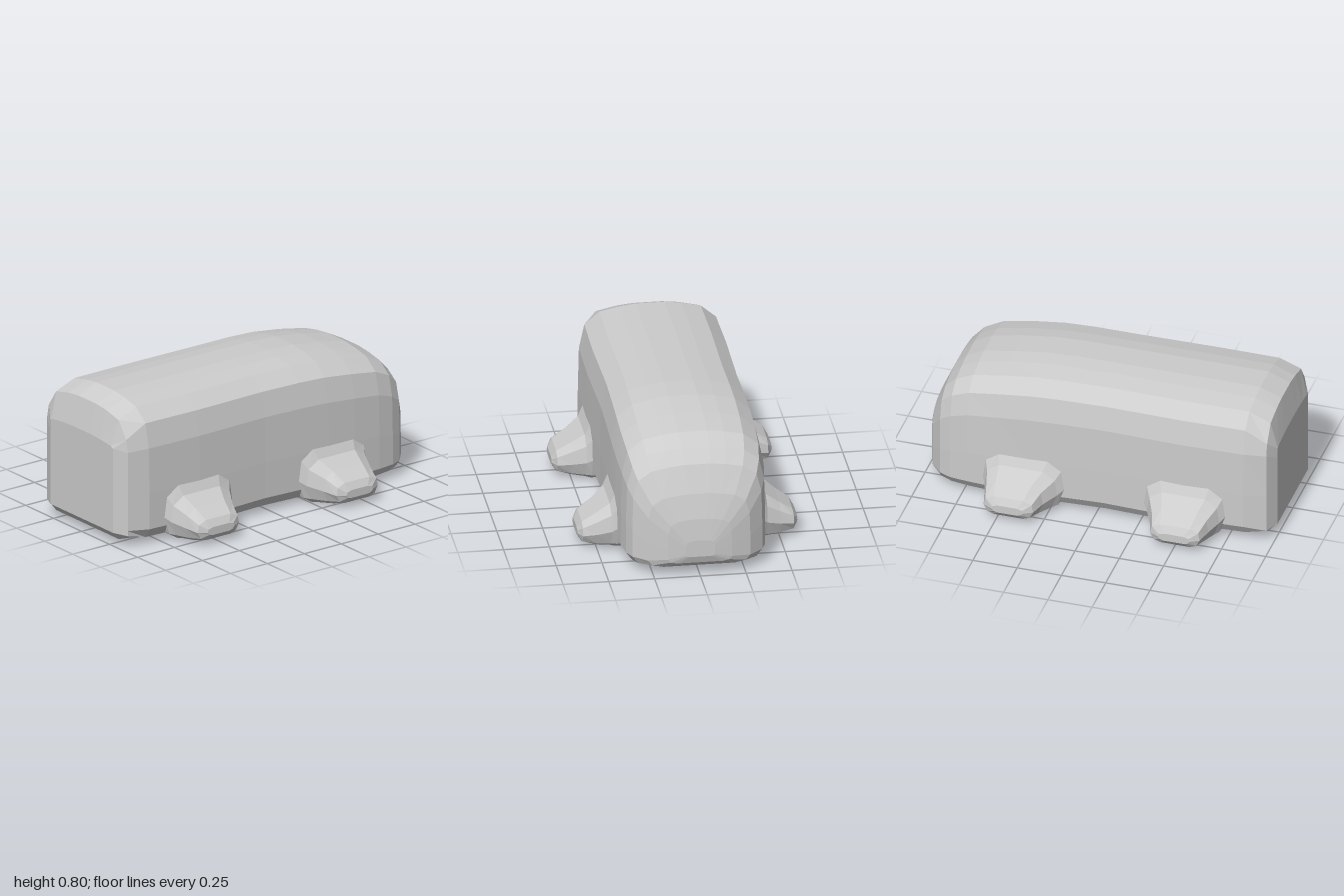
import * as THREE from 'three';

const material = new THREE.MeshStandardMaterial({ color: 0xcccccc, flatShading: true });

// Skin a list of equal-length rings and close both ends
function loft(rings, name) {
  const n = rings[0].length, pos = [], idx = [];
  rings.forEach(r => r.forEach(p => pos.push(...p)));
  for (let i = 0; i < rings.length - 1; i++) {
    for (let j = 0; j < n; j++) {
      const k = (j + 1) % n, a = i * n + j, b = i * n + k, c = b + n, d = a + n;
      idx.push(a, b, c, a, c, d);
    }
  }
  [0, rings.length - 1].forEach((r, end) => {
    const c = pos.length / 3;
    pos.push(...[0, 1, 2].map(k => rings[r].reduce((s, p) => s + p[k], 0) / n));
    for (let j = 0; j < n; j++) {
      const a = r * n + j, b = r * n + (j + 1) % n;
      if (end) idx.push(c, a, b); else idx.push(c, b, a);
    }
  });
  const indexed = new THREE.BufferGeometry();
  indexed.setAttribute('position', new THREE.Float32BufferAttribute(pos, 3));
  indexed.setIndex(idx);
  const geo = indexed.toNonIndexed();
  geo.computeVertexNormals();
  const mesh = new THREE.Mesh(geo, material);
  mesh.name = name;
  return mesh;
}

// Half section of the body: fraction of half width, fraction of height
const PROFILE = [[0, 1], [0.2, 1], [0.43, 0.985], [0.7, 0.955], [0.91, 0.865], [0.985, 0.69],
  [1, 0.36], [1, 0.1], [0.91, 0.03], [0.7, 0], [0, 0]];

// Mirror a half section into a full ring at depth z
function ring(half, z) {
  const left = half.map(([x, y]) => [x, y, z]);
  const right = half.slice(1, -1).reverse().map(([x, y]) => [-x, y, z]);
  return [...left, ...right];
}

function createBody() {
  // Squared-off front: flat face, then its bevel
  const face = [[0, 0.585], [0.08, 0.585], [0.17, 0.58], [0.26, 0.57], [0.28, 0.56], [0.28, 0.5],
    [0.28, 0.3], [0.28, 0.1], [0.28, 0.075], [0.26, 0.075], [0, 0.075]];
  const bevel = [[0, 0.75], [0.08, 0.75], [0.17, 0.74], [0.28, 0.715], [0.345, 0.62], [0.36, 0.55],
    [0.36, 0.3], [0.36, 0.1], [0.36, 0.07], [0.28, 0.03], [0, 0.03]];
  // z, half width, bottom, top
  const stations = [
    [0.84, 0.395, 0.015, 0.8], [0.5, 0.4, 0.008, 0.8], [0.05, 0.392, 0.015, 0.8],
    [-0.2, 0.397, 0.01, 0.798], [-0.37, 0.4, 0.005, 0.79], [-0.55, 0.4, 0.008, 0.765],
    [-0.72, 0.393, 0.015, 0.732], [-0.82, 0.38, 0.02, 0.68], [-0.885, 0.355, 0.03, 0.61],
    [-0.95, 0.28, 0.045, 0.465], [-0.985, 0.175, 0.075, 0.33], [-1, 0.08, 0.115, 0.21]];
  const rings = stations.map(([z, w, b, t]) =>
    ring(PROFILE.map(([u, v]) => [u * w, b + v * (t - b)]), z));
  return loft([ring(face, 1), ring(bevel, 0.96), ...rings], 'body');
}

// Stubby foot: faceted sections shrinking outward from the body side
const FOOT = [[0.6, 1], [-0.6, 1], [-0.93, 0.82], [-1, 0.45], [-0.85, 0.12],
  [-0.6, 0], [0.6, 0], [0.85, 0.12], [1, 0.45], [0.93, 0.82]];

function createFoot(side, z0, rootShift, name) {
  // x, half length, bottom, top, share of the root shift
  const sections = [[0.6, 0.09, 0.06, 0.105, 0], [0.575, 0.14, 0.03, 0.145, 0],
    [0.5, 0.165, 0.01, 0.195, 0.2], [0.425, 0.205, 0.004, 0.25, 0.8],
    [0.395, 0.23, 0, 0.31, 1], [0.3, 0.24, 0.002, 0.32, 1]];
  const rings = sections.map(([x, l, b, t, s]) => {
    const r = FOOT.map(([u, v]) => [side * x, b + v * (t - b), z0 + s * rootShift + u * l]);
    return side > 0 ? r : r.reverse();
  });
  return loft(rings, name);
}

export function createModel() {
  const model = new THREE.Group();
  model.name = 'roundedVehicle';
  model.add(createBody());
  for (const side of [1, -1]) {
    const label = side > 0 ? 'Left' : 'Right';
    model.add(createFoot(side, 0.51, 0, 'front' + label + 'Foot'));
    model.add(createFoot(side, -0.43, 0.03, 'rear' + label + 'Foot'));
  }
  return model;
}
